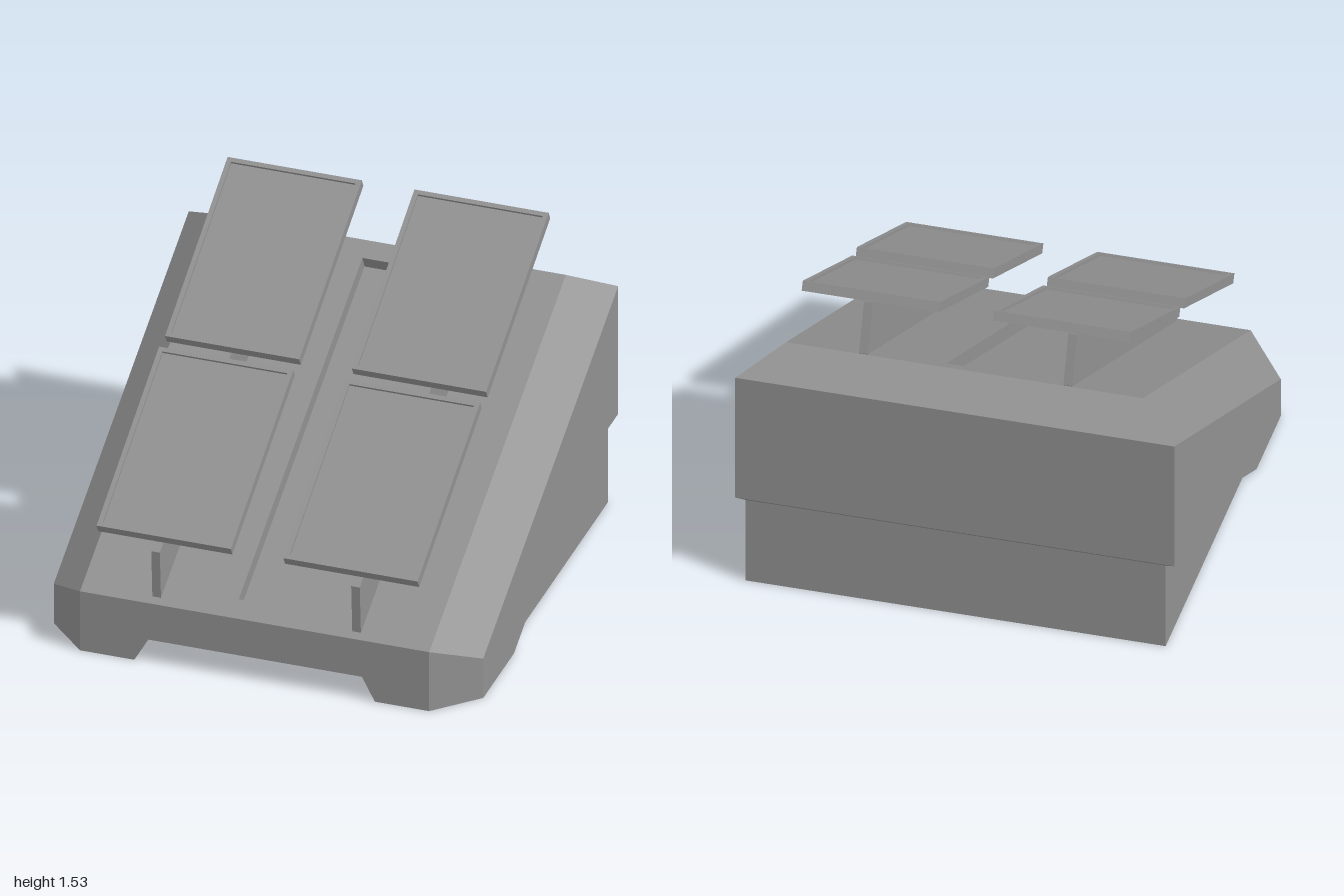
import * as THREE from 'three';

const mat = new THREE.MeshStandardMaterial({ color: 0x919191, flatShading: true });

// Flat polygons (corners counter-clockwise from outside) joined into one mesh
function polyMesh(name, faces) {
  const pos = [];
  for (const f of faces)
    for (let i = 1; i < f.length - 1; i++) pos.push(...f[0], ...f[i], ...f[i + 1]);
  const geo = new THREE.BufferGeometry();
  geo.setAttribute('position', new THREE.Float32BufferAttribute(pos, 3));
  geo.computeVertexNormals();
  return named(new THREE.Mesh(geo, mat), name);
}

function named(obj, name) {
  obj.name = name;
  return obj;
}

// Side profile given as [z, y], extruded along x about a centre
function sidePlate(name, profile, width, x = 0) {
  const shape = new THREE.Shape(profile.map(([z, y]) => new THREE.Vector2(-z, y)));
  const geo = new THREE.ExtrudeGeometry(shape, { depth: width, bevelEnabled: false });
  geo.translate(0, 0, -width / 2).rotateY(Math.PI / 2);
  const mesh = named(new THREE.Mesh(geo, mat), name);
  mesh.position.x = x;
  return mesh;
}

// Base block size, shared with the lip of the hull above it
const base = { x: 0.957, front: 0.365, knee: -0.5, back: -0.988, top: 0.437 };

// Sloping wedge hull with chamfered edges, a sunken centre channel and a front notch
function hull() {
  const deckY = z => 0.3 + (1 - z) * 0.4973;
  const deck = (x, z) => [x, deckY(z), z];
  const sunk = (x, z) => [x, deckY(z) - 0.06, z - 0.03];
  const c = 0.105, cf = 0.91, cb = -0.75; // channel half width, front, back
  const w = 0.813, b = -0.835;            // deck half width, back
  const h = 0.115, n = 0.8;               // notch height, notch back
  const lipFront = [base.x, 0, base.front];
  const lipKnee = [base.x, base.top, base.knee];
  const lipBack = [base.x, base.top, base.back];

  // Faces of the +x half, mirrored to -x
  const half = [
    // side, as a fan from its inner corner
    [[1, 0.45, -0.5], [1, 0.45, -1], [1, 1.1, -1], [1, 0.2, w], [1, 0, w], [1, 0, 0.4]],
    // long chamfer and front corner
    [[1, 0.2, w], [1, 1.1, -1], deck(w, b), deck(w, 1)],
    [[w, 0, 1], [1, 0, w], [1, 0.2, w], deck(w, 1)],
    // front and bottom beside the notch, notch wall
    [[0.56, 0, 1], [w, 0, 1], [w, 0.3, 1], [0.5, 0.3, 1], [0.5, h, 1]],
    [[0.56, 0, base.front], lipFront, [1, 0, 0.4], [1, 0, w], [w, 0, 1], [0.56, 0, 1]],
    [[0.56, 0, n], [0.56, 0, 1], [0.5, h, 1], [0.5, h, n]],
    // deck beside the channel, channel wall
    [deck(w, 1), deck(w, b), deck(c, cb), deck(c, cf)],
    [sunk(c, cb), sunk(c, cf), deck(c, cf), deck(c, cb)],
    // lip narrowing to the base
    [[1, 0.45, -1], [1, 0.45, -0.5], lipKnee, lipBack],
    [[1, 0.45, -0.5], [1, 0, 0.4], lipFront, lipKnee],
  ];
  const mirrored = half.map(f => f.map(([x, y, z]) => [-x, y, z]).reverse());
  // The side outline is concave, so its fan must start from the same corner
  mirrored[0].unshift(mirrored[0].pop());

  const across = [
    // back, back slope and back lip
    [[1, 0.45, -1], [-1, 0.45, -1], [-1, 1.1, -1], [1, 1.1, -1]],
    [[1, 1.1, -1], [-1, 1.1, -1], deck(-w, b), deck(w, b)],
    [[-1, 0.45, -1], [1, 0.45, -1], lipBack, [-base.x, base.top, base.back]],
    // front above the notch, notch ceiling and back wall, bottom behind it
    [[-0.5, h, 1], [0.5, h, 1], [0.5, 0.3, 1], [-0.5, 0.3, 1]],
    [[-0.5, h, n], [0.5, h, n], [0.5, h, 1], [-0.5, h, 1]],
    [[-0.56, 0, n], [0.56, 0, n], [0.5, h, n], [-0.5, h, n]],
    [[-0.56, 0, base.front], [0.56, 0, base.front], [0.56, 0, n], [-0.56, 0, n]],
    // deck before and behind the channel, channel floor and ends
    [deck(-w, 1), deck(w, 1), deck(c, cf), deck(-c, cf)],
    [deck(w, b), deck(-w, b), deck(-c, cb), deck(c, cb)],
    [sunk(-c, cf), sunk(c, cf), sunk(c, cb), sunk(-c, cb)],
    [sunk(c, cf), sunk(-c, cf), deck(-c, cf), deck(c, cf)],
    [sunk(-c, cb), sunk(c, cb), deck(c, cb), deck(-c, cb)],
  ];
  return polyMesh('hull', [...half, ...mirrored, ...across]);
}

// Tilted panel: a raised rim around a recessed face
function panel(x, y, z) {
  const W = 0.625, L = 0.953, T = 0.045, rim = 0.022, recess = 0.012;
  const rect = (Type, hw, hl) => new Type([[-hw, -hl], [hw, -hl], [hw, hl], [-hw, hl]]
    .map(([px, py]) => new THREE.Vector2(px, py)));
  const frame = rect(THREE.Shape, W / 2, L / 2);
  frame.holes.push(rect(THREE.Path, W / 2 - rim, L / 2 - rim));
  const rimGeo = new THREE.ExtrudeGeometry(frame, { depth: T, bevelEnabled: false });
  rimGeo.translate(0, 0, -T / 2);
  const plateGeo = new THREE.BoxGeometry(W - 2 * rim, L - 2 * rim, T - recess);
  plateGeo.translate(0, 0, -recess / 2);

  const g = named(new THREE.Group(), 'panel');
  g.add(named(new THREE.Mesh(rimGeo, mat), 'panelRim'),
    named(new THREE.Mesh(plateGeo, mat), 'panelFace'));
  g.position.set(x, y, z);
  g.rotation.x = -1.079;
  return g;
}

export function createModel() {
  const model = named(new THREE.Group(), 'panelStation');
  model.add(hull());

  // Base block under the hull
  model.add(sidePlate('base', [[base.front, 0], [base.knee, base.top],
    [base.back, base.top], [base.back, 0]], 2 * base.x));

  // Two long fins, each with a lower and an upper panel above it
  for (const [finX, panelX] of [[-0.468, -0.437], [0.463, 0.433]]) {
    model.add(sidePlate('supportFin',
      [[0.98, 0.555], [0.965, 0.31], [0.9, 0.3], [-0.78, 1.13], [-0.825, 1.21], [-0.74, 1.43]], 0.04, finX));
    model.add(panel(panelX, 0.83, 0.53), panel(panelX, 1.29, -0.39));
  }
  return model;
}
